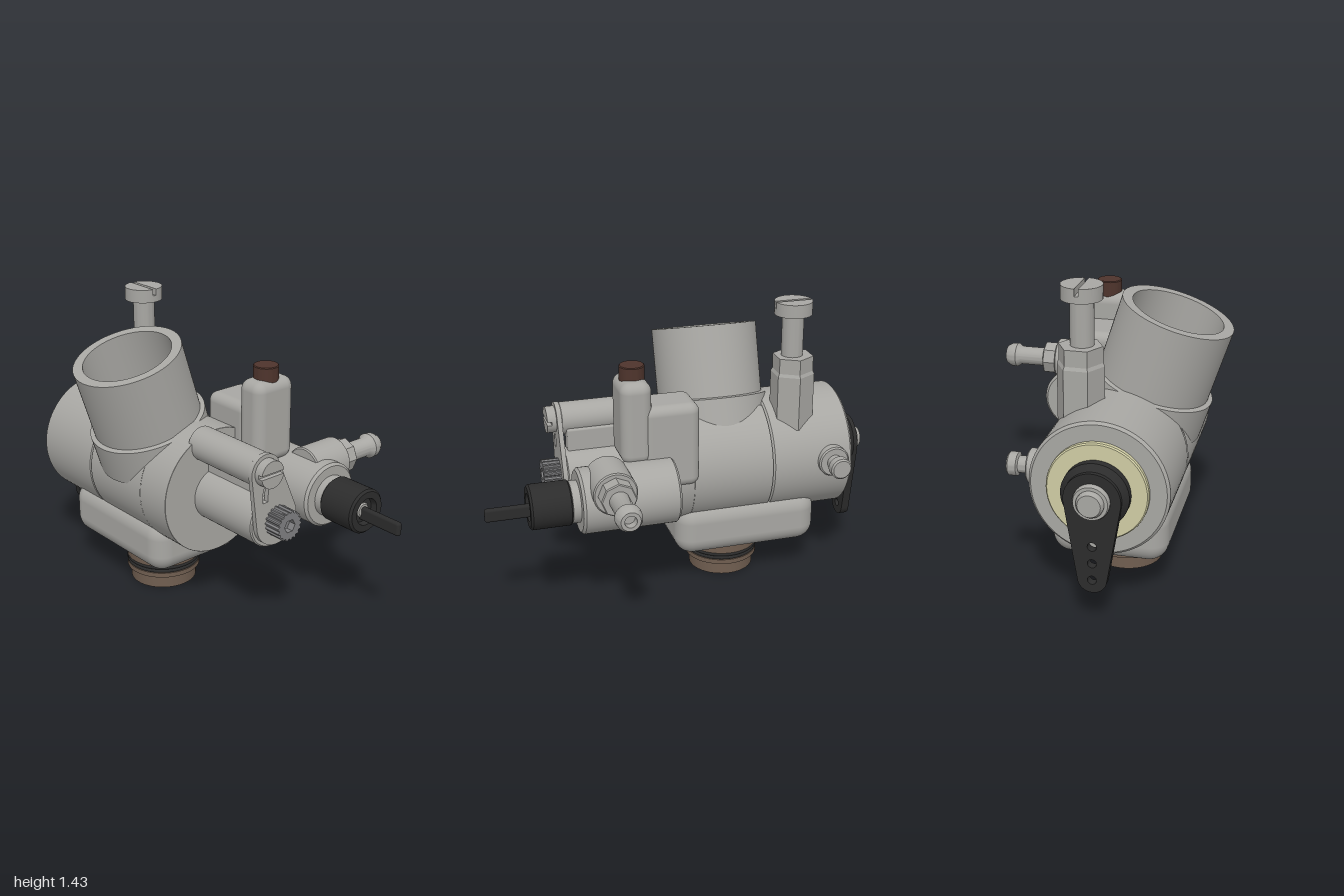
import * as THREE from 'three';
import { toCreasedNormals } from 'three/addons/utils/BufferGeometryUtils.js';
import { RoundedBoxGeometry } from 'three/addons/geometries/RoundedBoxGeometry.js';

export function createModel() {
  const model = new THREE.Group();
  model.name = 'carburettor';
  const mat = (name, color) => Object.assign(new THREE.MeshStandardMaterial({ color }), { name });
  const metal = mat('castMetal', 0xa8a7a3);
  const steel = mat('knurledSteel', 0x7f7f81);
  const cream = mat('creamSlide', 0xcfcca4);
  const black = mat('blackPlastic', 0x2c2c2c);
  const bronze = mat('bronze', 0x705e50);
  const brown = mat('brownCap', 0x4e342c);

  const add = (name, geo, m, parent = model) => {
    const mesh = new THREE.Mesh(geo, m);
    mesh.name = name;
    parent.add(mesh);
    return mesh;
  };
  const orient = (geo, axis) => {
    if (axis === 'x') geo.rotateZ(-Math.PI / 2);
    if (axis === 'z') geo.rotateX(Math.PI / 2);
    return geo;
  };
  // Turned part: points are [radius, distance along axis]
  const turned = (name, m, axis, pos, pts, segs = 48) => {
    const g = new THREE.LatheGeometry(pts.map(p => new THREE.Vector2(...p)), segs);
    const mesh = add(name, orient(toCreasedNormals(g, segs < 10 ? 0.1 : 0.6), axis), m);
    mesh.position.set(...pos);
    return mesh;
  };
  // Solid rod with a small chamfer at both ends
  const rod = (name, m, axis, pos, r, a, b, c = 0.006, segs = 48) => turned(name, m, axis, pos,
    [[0, a], [r - c, a], [r, a + c], [r, b - c], [r - c, b], [0, b]], segs);
  const box = (name, m, x0, x1, y0, y1, z0, z1, r) => add(name,
    new RoundedBoxGeometry(x1 - x0, y1 - y0, z1 - z0, 5, r), m)
    .position.set((x0 + x1) / 2, (y0 + y1) / 2, (z0 + z1) / 2);
  // Outline around two circles, in the z-y plane
  const linkShape = (az, ay, ra, bz, by, rb) => {
    const dir = Math.atan2(by - ay, bz - az);
    const phi = Math.acos((ra - rb) / Math.hypot(bz - az, by - ay));
    const s = new THREE.Shape();
    s.absarc(az, ay, ra, dir + phi, dir - phi + 2 * Math.PI, false);
    s.absarc(bz, by, rb, dir - phi, dir + phi, false);
    return s;
  };
  const plateX = (name, m, shape, x0, x1) => {
    const g = new THREE.ExtrudeGeometry(shape, { depth: x1 - x0, bevelEnabled: false, curveSegments: 24 });
    add(name, toCreasedNormals(g.rotateY(-Math.PI / 2), 0.6), m).position.x = x1;
  };
  // Screw head facing local +z with a straight slot along local x
  const slottedHead = (name, m, r, thick, slot) => {
    const group = new THREE.Group();
    group.name = name;
    const base = add('headBase', orient(new THREE.CylinderGeometry(r, r, thick / 2, 40), 'z'), m, group);
    base.position.z = thick / 4;
    const a = Math.asin(slot / 2 / r);
    const half = new THREE.Shape();
    half.absarc(0, 0, r, a, Math.PI - a, false);
    for (const turn of [0, Math.PI]) {
      const g = new THREE.ExtrudeGeometry(half, { depth: thick / 2, bevelEnabled: false, curveSegments: 24 });
      const h = add('headHalf', toCreasedNormals(g, 0.6), m, group);
      h.position.z = thick / 2;
      h.rotation.z = turn;
    }
    model.add(group);
    return group;
  };

  // Main barrel, left open beneath the intake
  const R = 0.31, by = 0.615, bz = 0.17, tilt = 0.31;
  rod('barrelRightEnd', metal, 'x', [0, by, bz], R, -0.84, -0.42, 0.012, 96);
  rod('barrelLeftEnd', metal, 'x', [0, by, bz], R, -0.02, 0.17, 0.001, 96);
  const gap = 0.7;
  const mid = orient(new THREE.CylinderGeometry(R, R, 0.4, 80, 1, true,
    tilt - Math.PI / 2 + gap, 2 * Math.PI - 2 * gap), 'x');
  add('barrelMiddle', mid, metal).position.set(-0.22, by, bz);

  // Tilted intake with stepped bore and slide at its base
  const intake = turned('intake', metal, 'y', [-0.22, by, 0.19], [
    [0.285, 0.11], [0.285, 0.29], [0.263, 0.295], [0.263, 0.645], [0.215, 0.645],
    [0.215, 0.33], [0.165, 0.33], [0.155, 0.1]], 72);
  intake.rotation.x = tilt;
  const slide = turned('throttleSlide', cream, 'y', [-0.22, by, 0.19], [[0.157, 0.13], [0.12, 0.09], [0, 0.07]].reverse());
  slide.material = cream;
  slide.geometry.scale(1, 1, 1);
  slide.rotation.x = tilt;
  // the dished slide faces up the bore
  slide.geometry.computeBoundingBox();
  cream.side = THREE.DoubleSide;

  // Lower bowl and bronze outlet
  box('bowl', metal, -0.68, 0.05, 0.18, 0.45, -0.1, 0.435, 0.09);
  turned('outlet', bronze, 'y', [-0.255, 0, 0.172], [
    [0, 0.1], [0.145, 0.1], [0.145, 0], [0.165, 0], [0.165, 0.063], [0.184, 0.066], [0.184, 0.09],
    [0.165, 0.092], [0.165, 0.125], [0.184, 0.128], [0.184, 0.2]].map(([r, y]) => [r, y]));
  for (const y of [0.1, 0.118]) {
    const ring = add('sealRing', orient(new THREE.TorusGeometry(0.174, 0.011, 10, 48), 'z'), black);
    ring.position.set(-0.255, y, 0.172);
  }

  // Throttle pulley end: cream washer, black boss, drilled lever and nut
  rod('washer', cream, 'x', [0, by, bz], 0.225, -0.865, -0.83);
  turned('leverBoss', black, 'x', [0, by, bz], [[0, -0.93], [0.125, -0.93], [0.15, -0.9], [0.15, -0.86], [0, -0.86]]);
  const lever = linkShape(bz, by, 0.125, bz, 0.245, 0.065);
  for (const y of [0.24, 0.32, 0.4]) {
    const hole = new THREE.Path();
    hole.absarc(bz, y, 0.02, 0, Math.PI * 2, true);
    lever.holes.push(hole);
  }
  plateX('lever', black, lever, -0.95, -0.91);
  turned('leverNut', metal, 'x', [0, by, bz], [[0, -1], [0.05, -1], [0.06, -0.985], [0.06, -0.975],
    [0.075, -0.975], [0.08, -0.965], [0.08, -0.945], [0, -0.945]]);

  // Idle stop: hexagonal tower with a slotted screw
  turned('hexTower', metal, 'y', [-0.565, 0, 0.025], [[0.108, 0.8], [0.108, 1.07], [0.1, 1.085], [0.1, 1.16], [0, 1.16]], 6);
  rod('idleScrewShaft', metal, 'y', [-0.56, 0, 0.03], 0.053, 1.1, 1.38);
  const idle = slottedHead('idleScrewHead', metal, 0.092, 0.065, 0.018);
  idle.position.set(-0.56, 1.367, 0.03);
  idle.rotation.x = -Math.PI / 2;

  // Small plug at the rear of the barrel
  turned('rearPlug', metal, 'z', [-0.732, 0.645, 0], [[0, -0.26], [0.045, -0.26], [0.053, -0.252], [0.053, -0.215],
    [0.038, -0.21], [0.038, -0.165], [0.07, -0.165], [0.077, -0.158], [0.077, -0.1]]);

  // Paired side cylinders, end plate, slotted screw and knurled adjuster
  rod('lowerSideCylinder', metal, 'x', [0, 0.605, 0.177], 0.128, 0.15, 0.562);
  rod('upperSideCylinder', metal, 'x', [0, 0.87, 0.24], 0.08, 0.14, 0.565);
  box('sideWeb', metal, 0.15, 0.54, 0.68, 0.84, 0.15, 0.22, 0.01);
  const plate = linkShape(bz, by, 0.12, 0.24, 0.87, 0.083);
  const window = new THREE.Path([[0.225, 0.72], [0.225, 0.79], [0.255, 0.79], [0.255, 0.72]].map(p => new THREE.Vector2(...p)));
  plate.holes.push(window);
  plateX('endPlate', metal, plate, 0.562, 0.585);
  const screw = slottedHead('plateScrew', metal, 0.065, 0.045, 0.018);
  screw.position.set(0.585, 0.87, 0.24);
  screw.rotation.y = Math.PI / 2;
  const teeth = 18, knurl = new THREE.Shape();
  for (let i = 0; i < teeth * 4; i++) {
    const r = i % 4 < 2 ? 0.072 : 0.063, a = i / (teeth * 4) * Math.PI * 2;
    knurl[i ? 'lineTo' : 'moveTo'](bz + r * Math.cos(a), by + r * Math.sin(a));
  }
  const socket = new THREE.Path();
  for (let i = 0; i < 6; i++) {
    const a = -i * Math.PI / 3;
    socket[i ? 'lineTo' : 'moveTo'](bz + 0.032 * Math.cos(a), by + 0.032 * Math.sin(a));
  }
  knurl.holes.push(socket);
  plateX('knurledAdjuster', steel, knurl, 0.585, 0.67);
  rod('adjusterCore', steel, 'x', [0, by, bz], 0.05, 0.58, 0.635);

  // Float chambers with brown cap
  box('tallChamber', metal, 0.19, 0.34, 0.75, 1.157, -0.165, 0.065, 0.05);
  box('lowChamber', metal, -0.04, 0.24, 0.61, 1.03, -0.165, 0.06, 0.045);
  rod('chamberCap', brown, 'y', [0.263, 0, -0.047], 0.06, 1.13, 1.217, 0.004);

  // Rear choke tube, black cable cap and flat cable
  const cy = 0.622, cz = -0.185;
  rod('chokeTube', metal, 'x', [0, cy, cz], 0.157, 0.1, 0.567, 0.012);
  rod('chokeCollar', metal, 'x', [0, cy, cz], 0.1, 0.55, 0.61);
  turned('cableCap', black, 'x', [0, cy, cz], [[0, 0.605], [0.1, 0.605], [0.107, 0.612], [0.107, 0.79],
    [0.097, 0.8], [0.065, 0.8], [0.06, 0.77], [0, 0.77]]);
  rod('cableSleeve', metal, 'x', [0, cy, cz], 0.035, 0.76, 0.78);
  box('cable', black, 0.74, 1, 0.575, 0.64, -0.201, -0.171, 0.012);

  // Fuel inlet nipple
  const nip = [0.422, 0.717, 0];
  rod('inletBoss', metal, 'z', nip, 0.104, -0.36, -0.15);
  rod('inletHex', metal, 'z', nip, 0.084, -0.43, -0.355, 0.005, 8);
  turned('inletNipple', metal, 'z', nip, [[0, -0.6], [0.028, -0.6], [0.028, -0.64], [0.045, -0.64], [0.06, -0.615],
    [0.062, -0.585], [0.047, -0.562], [0.047, -0.42]]);

  return model;
}
